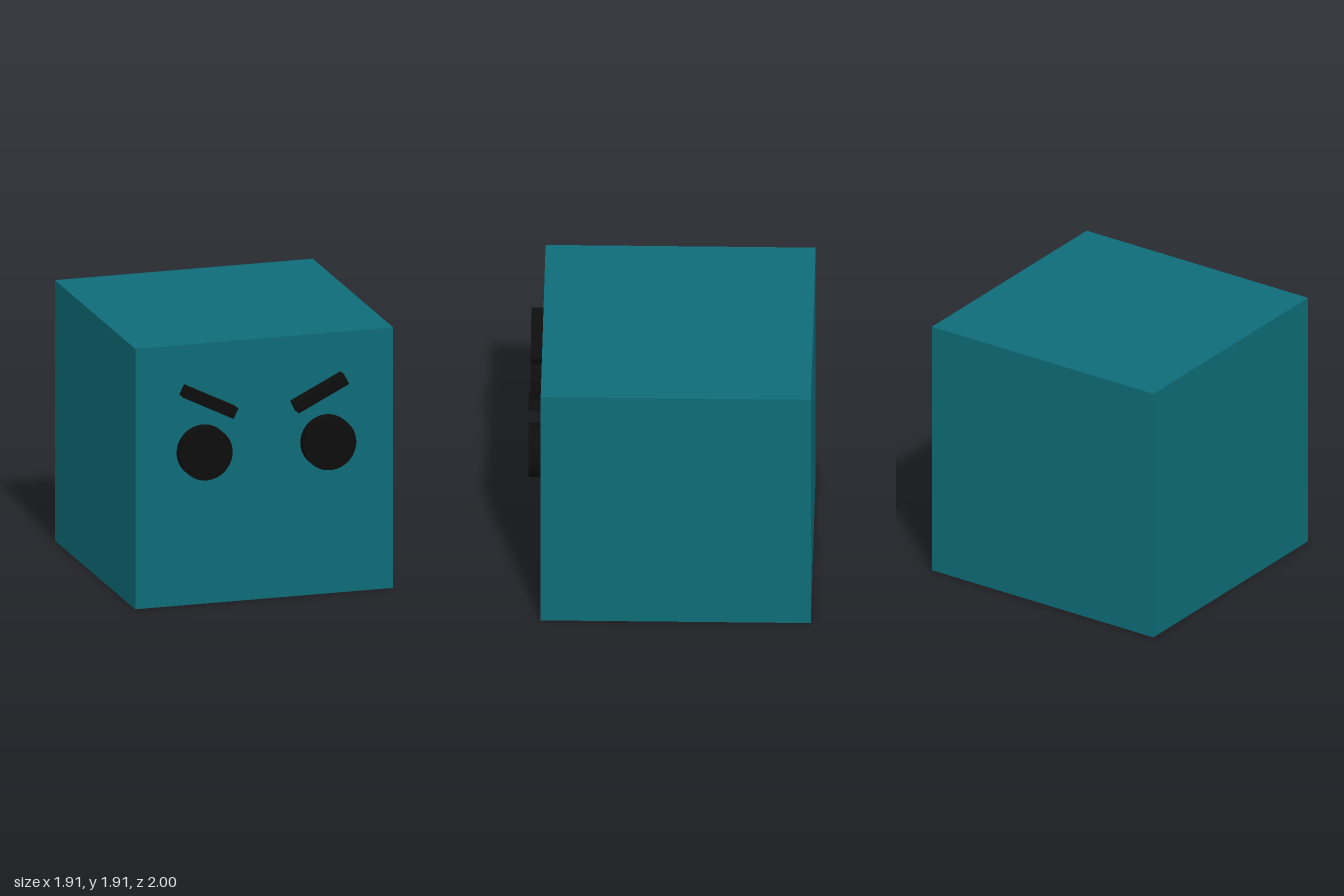
import * as THREE from 'three';

export function createModel() {
  const group = new THREE.Group();
  const teal = new THREE.MeshStandardMaterial({ color: 0x0e6c78 });
  const black = new THREE.MeshStandardMaterial({ color: 0x0d0d0d });

  const add = (name, geometry, material, x, y, z, tilt = 0) => {
    const mesh = new THREE.Mesh(geometry, material);
    mesh.name = name;
    mesh.position.set(x, y, z);
    mesh.rotation.z = tilt;
    group.add(mesh);
  };

  // Cube body, set back so the face details reach z = 1
  const size = 1.907;
  add('body', new THREE.BoxGeometry(size, size, size), teal, 0, size / 2, -1 + size / 2);

  // Raised disc eyes and slanted brows, slightly sunk into the front
  const depth = 0.12;
  const z = 1 - depth / 2;
  const eye = new THREE.CylinderGeometry(0.193, 0.193, depth, 48).rotateX(Math.PI / 2);
  const brow = new THREE.BoxGeometry(0.416, 0.081, depth);
  for (const [side, sign, eyeX, browX] of [['left', 1, 0.459, 0.395], ['right', -1, -0.455, -0.424]]) {
    add(side + 'Eye', eye, black, eyeX, 1.12, z);
    add(side + 'Brow', brow, black, browX, 1.49, z, sign * 0.463);
  }
  return group;
}
